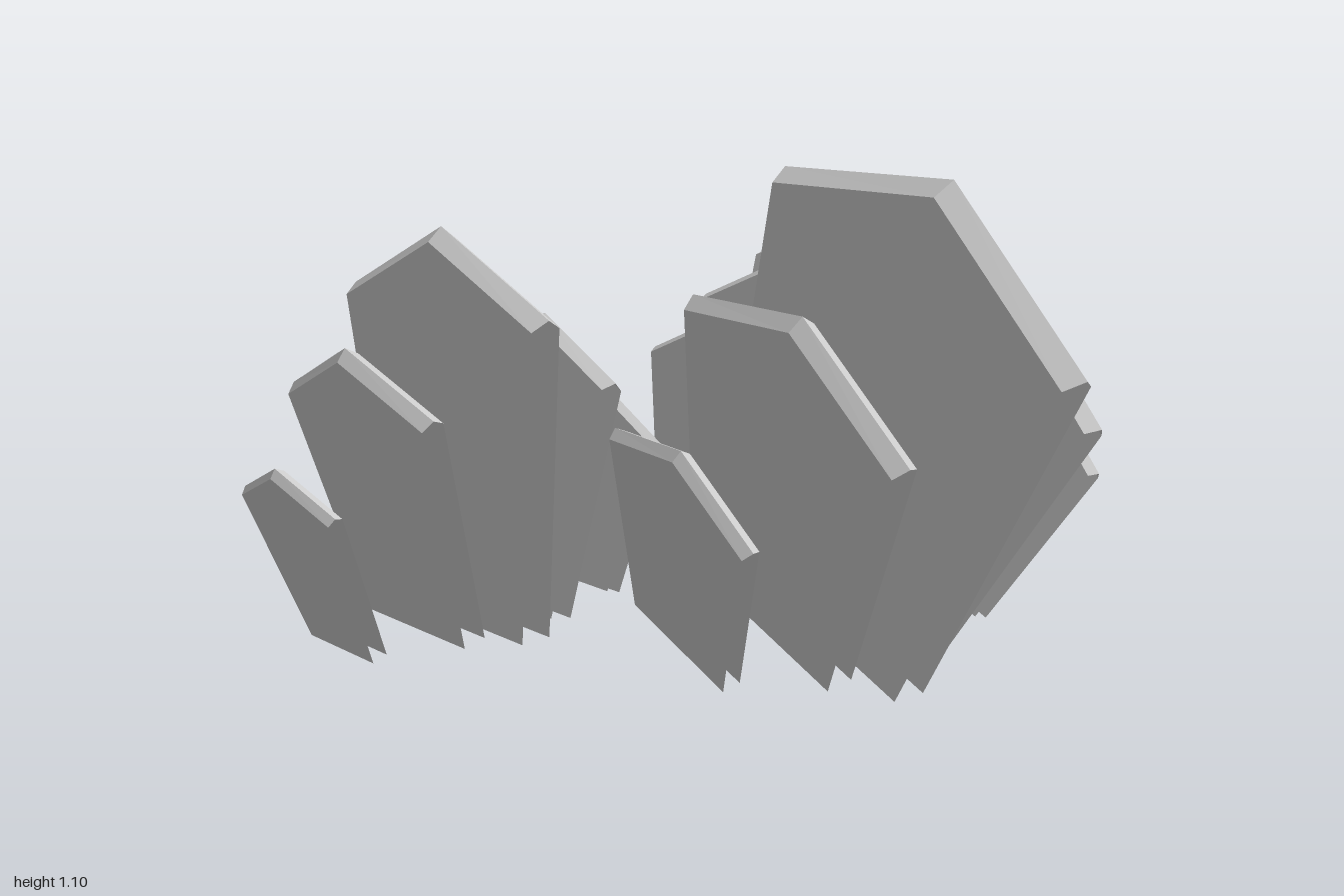
import * as THREE from 'three';

const material = new THREE.MeshStandardMaterial({ color: 0xcccccc, flatShading: true, side: THREE.DoubleSide });
const rad = THREE.MathUtils.degToRad;

// Pentagonal plate, hollow: two flat faces and a ridged rim along the two top edges
function plateGeometry() {
  const half = 0.042; // half thickness
  const base = 0.314;
  const face = [[base, 0], [0.443, 0.832], [0, 1.016], [-0.443, 0.832], [-base, 0]]; // [z, y]
  const ridge = [[0.461, 0.859], [0, 1.052], [-0.461, 0.859]];
  const pos = [];
  const add = (...pts) => pts.forEach(p => pos.push(...p));

  for (const s of [1, -1]) {
    const f = face.map(([z, y]) => [s * half, y, z]);
    const r = ridge.map(([z, y]) => [0, y, z]);
    // keeps the corner order outward on both sides
    const tri = (a, b, c) => (s > 0 ? add(a, c, b) : add(a, b, c));
    // flat side
    for (let i = 1; i < 4; i++) tri(f[0], f[i + 1], f[i]);
    // sloped rim strips up to the ridge
    for (let i = 0; i < 2; i++) {
      tri(f[i + 1], f[i + 2], r[i + 1]);
      tri(f[i + 1], r[i + 1], r[i]);
    }
  }
  const geo = new THREE.BufferGeometry();
  geo.setAttribute('position', new THREE.Float32BufferAttribute(pos, 3));
  geo.computeVertexNormals();
  return geo;
}

// Fan of five plates, shrinking and leaning outward from the middle
function createFan(name, geo, { position, scale = 1, pitch = 0, roll = 0 }) {
  const fan = new THREE.Group();
  fan.name = name;
  const addPlate = (label, x, y, size, lean) => {
    const plate = new THREE.Mesh(geo, material);
    plate.name = label;
    plate.position.set(x, y, 0);
    plate.scale.setScalar(size);
    plate.rotation.z = -rad(lean);
    fan.add(plate);
  };
  addPlate('centrePlate', 0, 0, 1, 0);
  for (const [side, s] of [['left', 1], ['right', -1]]) {
    addPlate(side + 'MiddlePlate', s * 0.135, 0.01, 0.75, s * 12.5);
    addPlate(side + 'OuterPlate', s * 0.367, 0.01, 0.5, s * 17.7);
  }
  fan.position.set(...position);
  fan.scale.setScalar(scale);
  fan.rotation.set(rad(pitch), 0, rad(roll));
  return fan;
}

export function createModel() {
  const model = new THREE.Group();
  model.name = 'plateFans';
  const geo = plateGeometry();
  model.add(
    createFan('frontFan', geo, { position: [0.005, 0.123, 0.107], pitch: 22.2 }),
    createFan('backRightFan', geo, { position: [-0.521, 0.094, -0.466], scale: 0.83, roll: 2.6 }),
    createFan('backLeftFan', geo, { position: [0.41, 0.12, -0.466], scale: 0.83, roll: -22.5 }),
  );
  return model;
}
